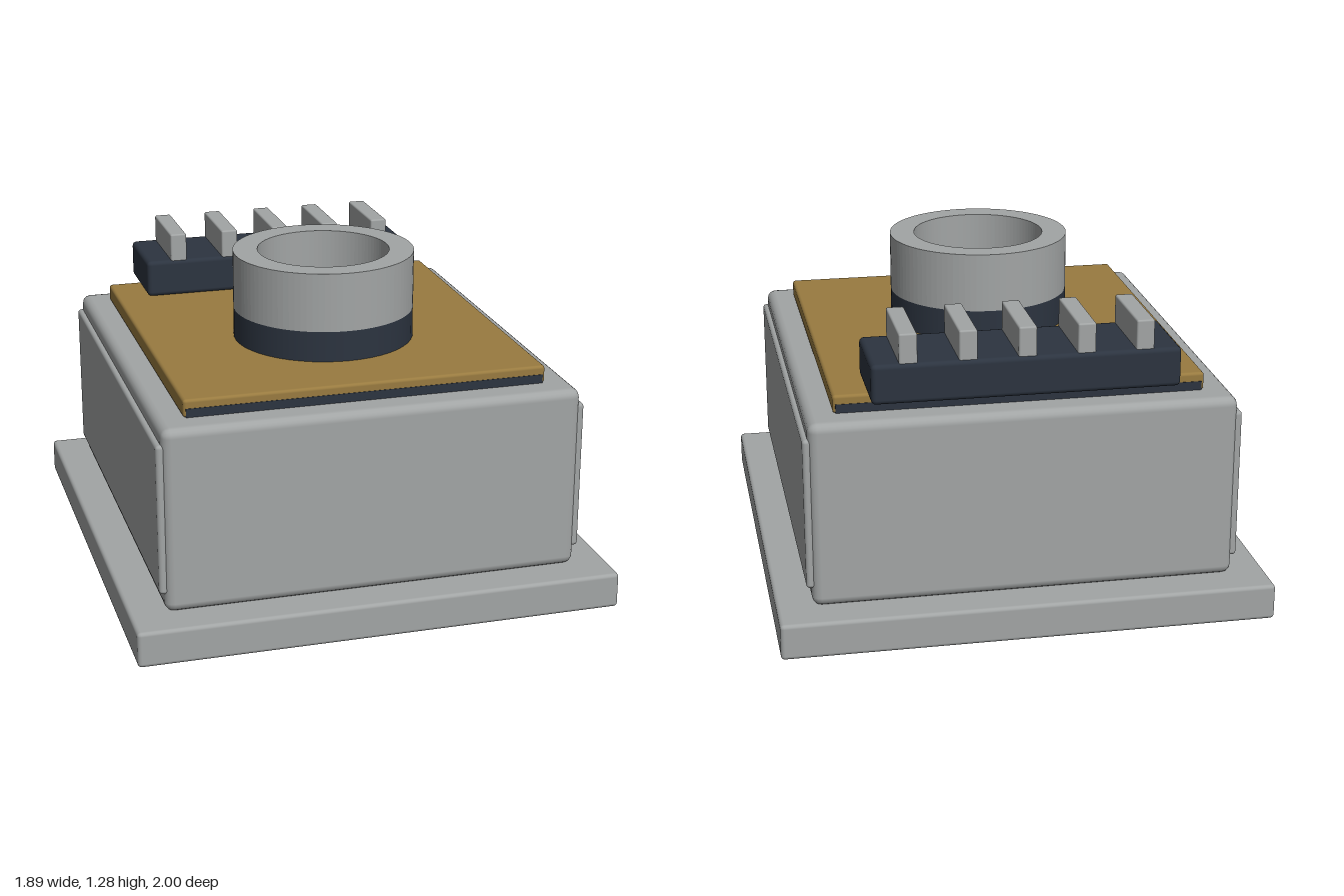
import * as THREE from 'three';
import { RoundedBoxGeometry } from 'three/addons/geometries/RoundedBoxGeometry.js';

const material = (name, color) => {
  const m = new THREE.MeshStandardMaterial({ color });
  m.name = name;
  return m;
};

export function createModel() {
  const grey = material('metal grey', 0xa2a5a5);
  const gold = material('board gold', 0x997b40);
  const dark = material('dark plastic', 0x2c3440);
  const model = new THREE.Group();
  model.name = 'sensorModule';

  const add = (name, geometry, mat, x = 0, y = 0, z = 0) => {
    const mesh = new THREE.Mesh(geometry, mat);
    mesh.name = name;
    mesh.position.set(x, y, z);
    model.add(mesh);
    return mesh;
  };

  // Box with softened edges, given by its extents
  const box = (name, mat, [x0, x1], [y0, y1], [z0, z1], r) =>
    add(name, new RoundedBoxGeometry(x1 - x0, y1 - y0, z1 - z0, 2, r), mat,
      (x0 + x1) / 2, (y0 + y1) / 2, (z0 + z1) / 2);

  // Housing
  box('basePlate', grey, [-0.945, 0.945], [0, 0.14], [-1, 1], 0.015);
  box('housing', grey, [-0.81, 0.81], [0.138, 0.862], [-0.865, 0.865], 0.035);
  for (const s of [-1, 1]) {
    const xs = [s * 0.77, s * 0.83].sort((a, b) => a - b);
    box(s > 0 ? 'leftSidePanel' : 'rightSidePanel', grey, xs, [0.21, 0.8], [-0.85, 0.85], 0.014);
  }

  // Circuit board with dark strips under its front and back edges
  box('circuitBoard', gold, [-0.705, 0.705], [0.86, 0.93], [-0.75, 0.75], 0.012);
  for (const s of [-1, 1]) {
    add(s > 0 ? 'frontBoardStrip' : 'backBoardStrip',
      new THREE.BoxGeometry(1.39, 0.036, 0.008), dark, 0, 0.878, s * 0.748);
  }

  // Round lens mount: dark collar below an open metal ring
  const lensZ = 0.136, outer = 0.357, inner = 0.26, seam = 1.05, top = 1.28;
  add('lensCollar', new THREE.CylinderGeometry(outer, outer, seam - 0.925, 48), dark,
    0, (seam + 0.925) / 2, lensZ);
  const ringShape = new THREE.Shape().absarc(0, 0, outer, 0, Math.PI * 2);
  ringShape.holes.push(new THREE.Path().absarc(0, 0, inner, 0, Math.PI * 2, true));
  const ring = new THREE.ExtrudeGeometry(ringShape, { depth: top - seam, bevelEnabled: false, curveSegments: 48 });
  ring.rotateX(-Math.PI / 2);
  add('lensRing', ring, grey, 0, seam, lensZ);
  // Lens disc at the bottom of the bore
  add('lens', new THREE.CylinderGeometry(inner, inner, 0.009, 48), dark, 0, seam + 0.005, lensZ);

  // Connector with five upright contacts
  box('connector', dark, [-0.577, 0.577], [0.928, 1.08], [-0.878, -0.527], 0.018);
  for (let i = -2; i <= 2; i++) {
    const x = i * 0.22;
    box('contact' + (i + 3), grey, [x - 0.034, x + 0.034], [1.06, 1.19], [-0.867, -0.535], 0.007);
  }
  return model;
}
